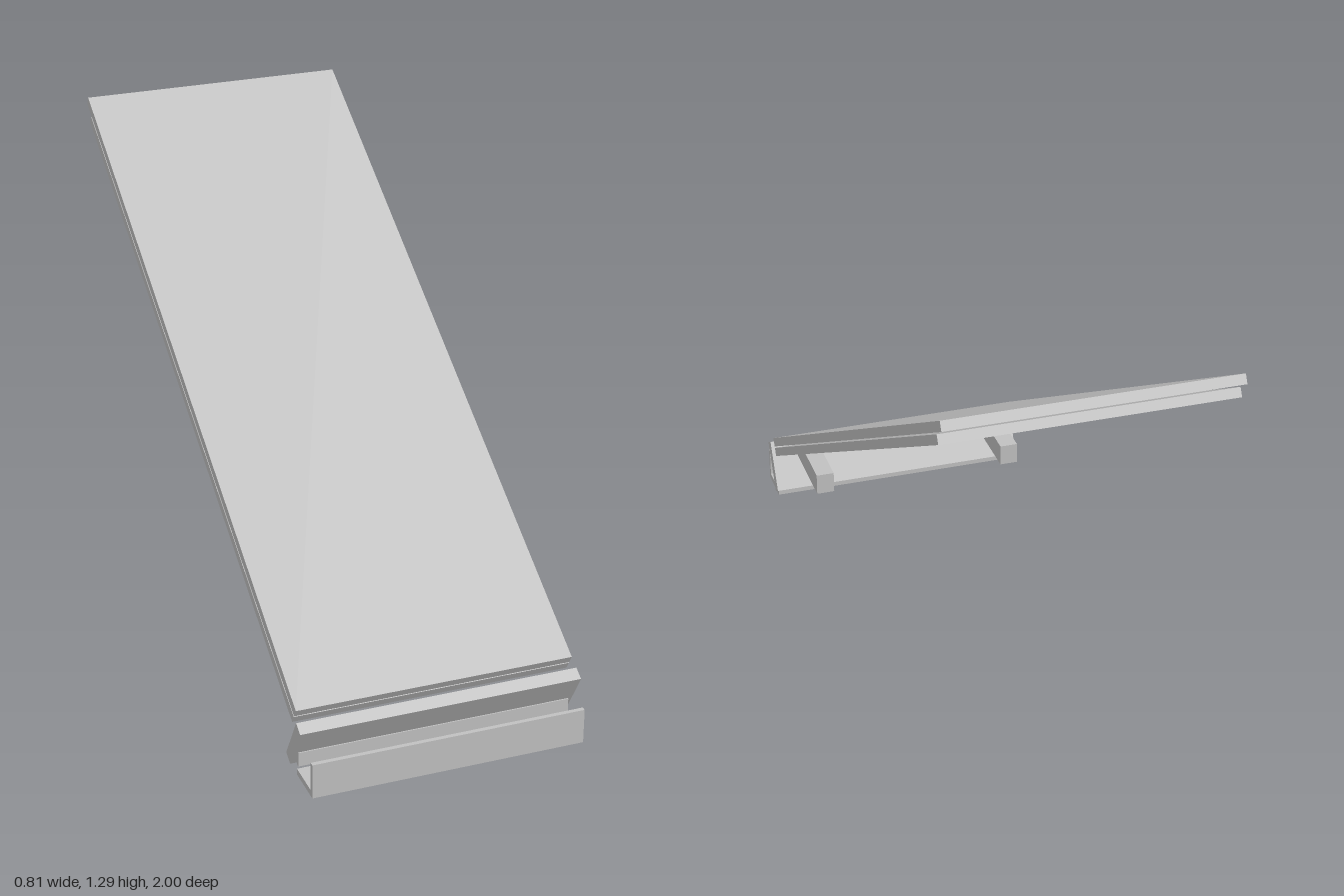
import * as THREE from 'three';

export function createModel() {
  const model = new THREE.Group();
  const grey = new THREE.MeshStandardMaterial({ color: 0xc0c0c0 });
  grey.name = 'lightGrey';
  const midX = -0.002;

  const box = (name, parent, size, pos) => {
    const mesh = new THREE.Mesh(new THREE.BoxGeometry(...size), grey);
    mesh.name = name;
    mesh.position.set(...pos);
    parent.add(mesh);
    return mesh;
  };

  // Tilted frame: local -z runs up the slope, local y is the panel normal;
  // its origin is the lower front edge of the top panel
  const slope = new THREE.Group();
  slope.name = 'slopedPanels';
  slope.position.set(midX, 0.207, 0.893);
  slope.rotation.x = Math.PI / 6;
  model.add(slope);
  box('topPanel', slope, [0.796, 0.0275, 2.17], [0, -0.01375, -1.085]);
  box('backPanel', slope, [0.796, 0.0265, 2.12], [0, -0.04525, -1.06]);

  // Crosswise edge board, square to the panels
  const board = box('edgeBoard', model, [0.808, 0.16, 0.036], [midX, 0.1045, 0.8875]);
  board.rotation.x = Math.PI / 6;

  // Narrow strip along the foot of the edge board
  box('footStrip', model, [0.784, 0.042, 0.014], [midX, 0.056, 0.889]);

  // L-shaped front channel
  const channel = new THREE.Group();
  channel.name = 'frontChannel';
  model.add(channel);
  box('channelFloor', channel, [0.782, 0.018, 0.12], [midX, 0.009, 0.94]);
  box('channelWall', channel, [0.782, 0.085, 0.013], [midX, 0.0605, 0.9935]);

  // Pair of support arms under the lower end
  for (const side of [-1, 1]) {
    box(side > 0 ? 'leftArm' : 'rightArm', model,
      [0.055, 0.066, 0.246], [side * 0.302, 0.193, 0.714]);
  }
  return model;
}
